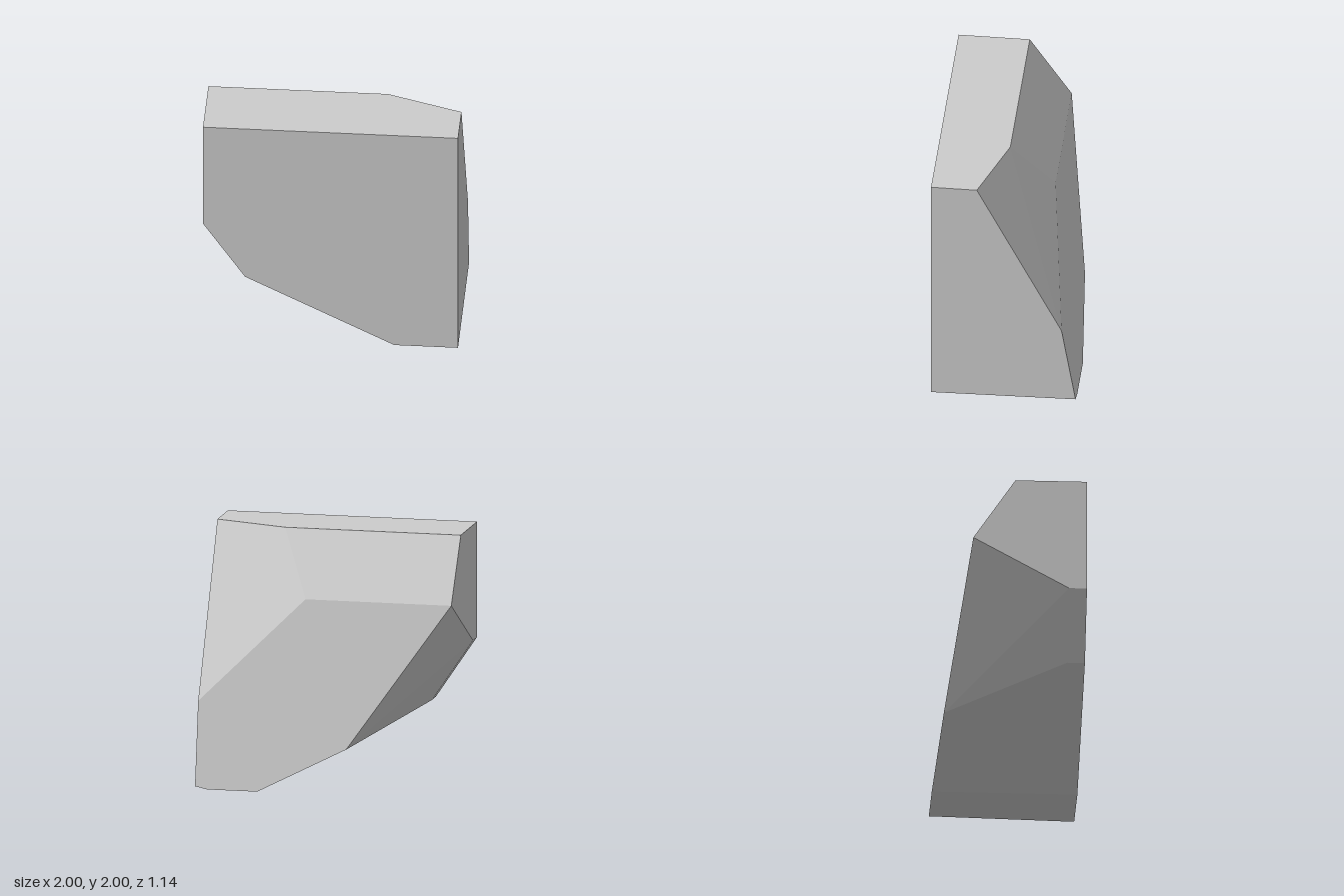
import * as THREE from 'three';
import { ConvexGeometry } from 'three/addons/geometries/ConvexGeometry.js';

const FRONT = 0.57;
// Depth of the sloping lower back plane at a given height
const backZ = (y) => -0.32 - (1.5 - y) / 6;

export function createModel() {
  const group = new THREE.Group();
  const stone = new THREE.MeshStandardMaterial({ color: 0xcccccc });

  const corners = [
    // front face outline
    [-1, 2, FRONT], [1, 2, FRONT], [1, 0, FRONT],
    [0.5, 0, FRONT], [-0.67, 0.59, FRONT], [-1, 1.08, FRONT],
    // short straight rim behind the lower corner of the front
    [-0.67, 0.59, 0.43], [-1, 1.08, 0.43],
    // back edge of the top, with its cut corner
    [-1, 2, 0.01], [0.41, 2, 0.01], [1, 2, 0.21],
    // ridge between the upper and lower back planes
    [-1, 1.5, backZ(1.5)], [0.17, 1.5, backZ(1.5)], [1, 0.68, backZ(0.68)],
    // foot of the back, with a tiny chipped corner
    [-0.2, 0.355, backZ(0.355)], [0.5, 0, backZ(0)],
    [0.9, 0, backZ(0)], [1, 0.02, backZ(0.02)], [1, 0, 0.52],
  ].map((p) => new THREE.Vector3(...p));

  const rock = new THREE.Mesh(new ConvexGeometry(corners), stone);
  stone.name = 'stone grey';
  rock.name = 'rockChunk';
  group.add(rock);
  return group;
}
